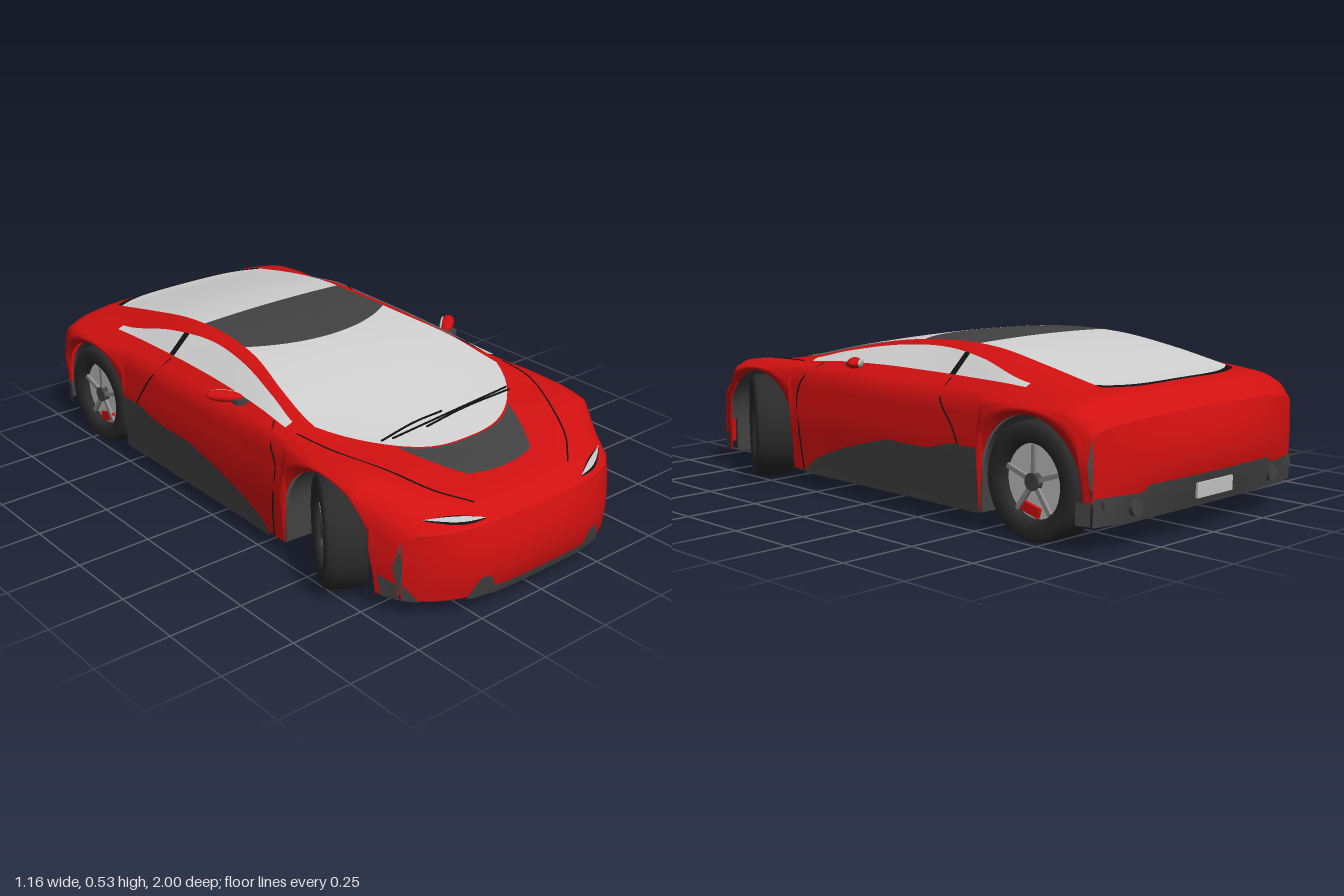
import * as THREE from 'three';

const mat = (name, color) => Object.assign(
  new THREE.MeshStandardMaterial({ color, side: THREE.DoubleSide }), { name });
const red = mat('red paint', 0xd01010), glass = mat('pale glass', 0xd0d0d0), trim = mat('dark trim', 0x424242);
const rubber = mat('tyre rubber', 0x2a2a2a), black = mat('black seam', 0x121212), silver = mat('silver', 0xc2c2c2);
const steel = mat('spoke steel', 0x8a8a8a);

// Body stations from nose to tail, and the guide lines that run through them
const ST = [.97, .9, .8, .66, .5, .35, .2, 0, -.2, -.4, -.6, -.8, -.9, -.97];
const line = (...v) => (s) => {
  let i = 0;
  while (i < ST.length - 2 && s < ST[i + 1]) i++;
  const slope = (k) => {
    const a = Math.max(k - 1, 0), b = Math.min(k + 1, ST.length - 1);
    return (v[b] - v[a]) / (ST[b] - ST[a]);
  };
  const h = ST[i + 1] - ST[i], t = (s - ST[i]) / h, t2 = t * t, t3 = t2 * t;
  return (2 * t3 - 3 * t2 + 1) * v[i] + (t3 - 2 * t2 + t) * h * slope(i)
    + (3 * t2 - 2 * t3) * v[i + 1] + (t3 - t2) * h * slope(i + 1);
};
const width = line(.45, .475, .495, .505, .505, .505, .5, .5, .5, .5, .505, .51, .505, .49);
const shoulderY = line(.255, .295, .345, .385, .397, .395, .393, .39, .39, .395, .4, .4, .385, .34);
const beltX = line(.4, .42, .44, .45, .45, .445, .435, .425, .42, .42, .425, .44, .44, .43);
const beltY = line(.275, .315, .362, .402, .415, .42, .43, .435, .435, .435, .435, .425, .405, .355);
const pillarX = line(.32, .34, .37, .41, .425, .415, .385, .345, .33, .36, .4, .41, .4, .38);
const pillarY = line(.28, .322, .364, .402, .415, .428, .465, .5, .512, .495, .45, .432, .414, .362);
const roofX = line(.24, .27, .31, .36, .39, .385, .36, .31, .29, .295, .31, .315, .31, .3);
const roofY = line(.283, .324, .36, .395, .415, .44, .475, .508, .522, .516, .485, .445, .425, .37);
const centreY = line(.285, .322, .347, .375, .41, .45, .485, .517, .529, .522, .493, .45, .43, .375);

const ARCHES = [.575, -.71], ARCH_R = .195, AXLE_Y = .178;
const lerp = THREE.MathUtils.lerp;

// Round the nose and tail in plan
function bend(x, s) {
  if (s > .7) return s - .13 * (s - .7) / .27 * Math.pow(x / .44, 4);
  if (s < -.85) return s + .04 * (-.85 - s) / .12 * Math.pow(x / .49, 4);
  return s;
}
// Lower edge of the side, cut by the wheel arches
function bottomY(z) {
  for (const c of ARCHES) {
    const d = Math.abs(z - c);
    if (d < ARCH_R) return AXLE_Y + Math.sqrt(ARCH_R * ARCH_R - d * d);
  }
  return z < -.85 ? .15 : .063;
}
// Half section from sill to centre line
function section(s) {
  const w = width(s), yb = bottomY(bend(w - .015, s)), ys = shoulderY(s);
  return [[w - .015, yb], [w, lerp(yb, ys, .55)], [w - .015, ys], [beltX(s), beltY(s)],
    [pillarX(s), pillarY(s)], [roofX(s), roofY(s)], [0, centreY(s)]];
}
function surface(u, s) {
  const p = section(s), i = Math.min(Math.floor(u), 5), t = u - i;
  const x = lerp(p[i][0], p[i + 1][0], t);
  const y = lerp(p[i][1], p[i + 1][1], i === 5 ? 1 - (1 - t) ** 2 : t);
  return new THREE.Vector3(x, y, bend(x, s));
}
function top(x, s, lift = .005) {
  const p = section(s), ax = Math.abs(x);
  let i = 2;
  while (i < 5 && ax < p[i + 1][0]) i++;
  const v = surface(i + THREE.MathUtils.clamp((p[i][0] - ax) / (p[i][0] - p[i + 1][0]), 0, 1), s);
  return new THREE.Vector3(x, v.y + lift, bend(x, s));
}
function side(y, s, lift = .004) {
  const p = section(s), i = y < p[1][1] ? 0 : 1;
  const t = THREE.MathUtils.clamp((y - p[i][1]) / (p[i + 1][1] - p[i][1]), 0, 1);
  const x = lerp(p[i][0], p[i + 1][0], t);
  return new THREE.Vector3(x + lift, y, bend(x, s));
}
// Front (dir 1) and rear (dir -1) fascia
function fascia(x, y, dir, lift = 0) {
  const s = .97 * dir, yt = top(x, s, 0).y, t = (yt - y) / (yt - (dir > 0 ? .063 : .15));
  const bulge = .03 * Math.sin(Math.PI * .85 * t) * (1 - (x / .5) ** 2);
  return new THREE.Vector3(x, y, bend(x, s) + dir * (bulge + lift));
}

// Grid of points fn(a, b), a and b from 0 to 1
function grid(name, material, na, nb, fn) {
  const pos = [], idx = [];
  for (let j = 0; j <= nb; j++) for (let i = 0; i <= na; i++) {
    pos.push(...fn(i / na, j / nb).toArray());
    if (i < na && j < nb) {
      const k = j * (na + 1) + i;
      idx.push(k, k + 1, k + na + 1, k + 1, k + na + 2, k + na + 1);
    }
  }
  const g = new THREE.BufferGeometry();
  g.setAttribute('position', new THREE.Float32BufferAttribute(pos, 3));
  g.setIndex(idx);
  g.computeVertexNormals();
  return add(name, g, material);
}
function add(name, geometry, material, x = 0, y = 0, z = 0) {
  const m = new THREE.Mesh(geometry, material);
  m.name = name;
  m.position.set(x, y, z);
  return m;
}
const wire = (name, pts, r = .0025) =>
  add(name, new THREE.TubeGeometry(new THREE.CatmullRomCurve3(pts), 24, r, 5), black);
const box = (w, h, d) => new THREE.BoxGeometry(w, h, d);

// Wheel with its outer face towards +x
function wheel(name, x, z, turn, caliperAngle) {
  const g = new THREE.Group(), out = Math.sign(x);
  g.name = name;
  const profile = [[.112, -.06], [.16, -.068], [.175, -.055], [.178, -.03], [.178, .03], [.175, .055],
    [.16, .068], [.12, .064], [.112, .05], [.11, -.05]].map((p) => new THREE.Vector2(...p));
  g.add(add('tyre', new THREE.LatheGeometry(profile, 40).rotateZ(-Math.PI / 2), rubber));
  const disc = (r, h) => new THREE.CylinderGeometry(r, r, h, 32).rotateZ(-Math.PI / 2);
  g.add(add('brakeDisc', disc(.111, .03), silver, .018), add('hub', disc(.026, .03), trim, .04));
  for (let i = 0; i < 5; i++) {
    const spoke = add('spoke', box(.012, .085, .014).translate(0, .066, 0), steel, .043);
    spoke.rotation.x = i * Math.PI * .4;
    g.add(spoke);
  }
  const caliper = add('caliper', box(.02, .03, .08).translate(0, .085, 0), red, .034);
  caliper.rotation.x = caliperAngle * out;
  g.add(caliper);
  g.position.set(x, AXLE_Y, z);
  g.rotation.y = turn + (out < 0 ? Math.PI : 0);
  return g;
}

// Parts of one side, built on +x
function sideParts() {
  const g = new THREE.Group();
  const pane = (s0, s1) => (a, b) => surface(lerp(3.06, 3.94, a), lerp(s0, s1, b)).add(new THREE.Vector3(.004, .004, 0));
  g.add(grid('frontSideWindow', glass, 4, 30, pane(.33, -.31)), grid('rearSideWindow', glass, 4, 20, pane(-.335, -.64)));
  g.add(grid('doorPost', black, 4, 2, pane(-.31, -.335)));
  // Dark skirt rising towards the rear arch
  const skirtTop = (s) => .06 + .165 * Math.pow(Math.min(1, (.31 - s) / .42), .6) + .028 * THREE.MathUtils.smoothstep(-s, .28, .42);
  g.add(grid('sideSkirt', trim, 4, 40, (a, b) => {
    const s = lerp(.31, -.512, b);
    return side(lerp(.055, skirtTop(s), a), s, .006);
  }));
  g.add(grid('rearCornerTrim', trim, 2, 6, (a, b) => side(lerp(.085, .152, a), lerp(-.91, -.97, b))));
  g.add(grid('frontCornerTrim', trim, 2, 6, (a, b) => side(lerp(.062, .135 - .02 * b, a), lerp(.91, .97, b))));
  g.add(grid('frontCornerFace', trim, 2, 4, (a, b) => fascia(lerp(.435, .4, b), lerp(.062, .115 - .052 * b, a), 1, .005)));
  g.add(grid('intakeFin', trim, 6, 2, (a, b) =>
    fascia(lerp(.18, .28, a), lerp(.058, .062 + .066 * Math.min(1, 1.7 * (1 - Math.abs(2 * a - 1))), b), 1, .006)));
  // Slim headlight with dark surround
  const lamp = (h, lift) => (a, b) =>
    top(lerp(.2, .375, a), lerp(.957, .922, a) + h * Math.sin(Math.PI * a) * (b * 2 - 1), lift);
  g.add(grid('headlightSurround', black, 20, 4, lamp(.015, .004)), grid('headlight', silver, 20, 4, lamp(.009, .007)));
  // Panel seams
  g.add(wire('doorSeam', [[.065, .325], [.2, .335], [.32, .345], [.38, .315]].map(([y, s]) => side(y, s, .001))
    .concat([surface(2.95, .27)])));
  g.add(wire('doorRearSeam', [surface(2.95, -.32), side(.38, -.34, .001), side(.3, -.4, .001), side(.25, -.43, .001)]));
  g.add(wire('bonnetSeam', [[.44, .38], [.42, .52], [.34, .7], [.28, .82], [.2, .9]].map(([x, s]) => top(x, s, .001))));
  // Door mirror
  const mirror = new THREE.Group();
  mirror.name = 'mirror';
  mirror.add(add('mirrorHousing', new THREE.SphereGeometry(1, 20, 12).scale(.06, .018, .023), red));
  mirror.add(add('mirrorGlass', new THREE.SphereGeometry(1, 16, 8).scale(.05, .013, .006), silver, 0, 0, -.02));
  mirror.position.set(.482, .447, .065);
  mirror.rotation.set(0, .72, .06);
  const arm = add('mirrorArm', box(.07, .016, .035), trim, .437, .432, .105);
  arm.rotation.z = .15;
  g.add(mirror, arm);
  // Wheel arch liners and exhaust
  for (const z of ARCHES) {
    const liner = new THREE.CylinderGeometry(ARCH_R, ARCH_R, .2, 28, 1, true, 0, Math.PI).rotateZ(Math.PI / 2);
    const a = add('archLiner', liner.rotateX(0), trim, .375, AXLE_Y, z);
    const p = liner.attributes.position;
    for (let i = 0; i < p.count; i++) if (p.getY(i) < 0) p.setY(i, -p.getY(i));
    liner.computeVertexNormals();
    g.add(a);
  }
  g.add(add('exhaust', new THREE.CylinderGeometry(.025, .025, .14, 16).rotateX(Math.PI / 2), trim, .33, .125, -.91));
  return g;
}

export function createModel() {
  const car = new THREE.Group();
  car.name = 'sportsCar';

  // Painted shell
  const half = [];
  [3, 3, 2, 3, 2, 8].forEach((n, i) => { for (let k = 0; k < n; k++) half.push(i + k / n); });
  const cols = [...half, 6, ...half.map((u) => -u).reverse()], n = cols.length - 1;
  const mirrorIf = (v, flip) => (flip ? v.setX(-v.x) : v);
  car.add(grid('bodyShell', red, n, 220, (a, b) => {
    const k = Math.round(a * n);
    return mirrorIf(surface(Math.abs(cols[k]), lerp(.97, -.97, b)), k > n / 2);
  }));
  for (const dir of [1, -1]) car.add(grid(dir > 0 ? 'frontFascia' : 'rearFascia', red, 40, 12, (a, b) => {
    const x = (a * 2 - 1) * (width(.97 * dir) - .015);
    return fascia(x, lerp(top(x, .97 * dir, 0).y, dir > 0 ? .063 : .15, b), dir);
  }));

  // Glass canopy running from windscreen over the roof to the tail
  const front = (a) => .66 - .26 * Math.abs(a) ** 3, roofFront = (a) => .02 - .09 * a * a;
  const roofRear = () => -.31, rear = (a) => -.86 + .06 * a ** 4;
  const canopy = (from, to) => (i, j) => {
    const a = i * 2 - 1, s = lerp(from(a), to(a), j);
    return top(a * roofX(s) * .995, s);
  };
  car.add(grid('windscreen', glass, 32, 40, canopy(front, roofFront)));
  car.add(grid('roofPanel', trim, 32, 24, canopy(roofFront, roofRear)));
  car.add(grid('rearWindow', glass, 32, 40, canopy(roofRear, rear)));
  car.add(grid('rearWindowVent', black, 32, 2, canopy(rear, (a) => rear(a) - .012 - .015 * a * a)));
  car.add(grid('bonnetPanel', trim, 24, 16, (i, j) => {
    const a = i * 2 - 1, x = a * lerp(.24, .135, j);
    return top(x, lerp(.665 - .26 * Math.abs(x / .38) ** 3, .82 - .02 * a * a, j));
  }));
  const wiper = (pts) => wire('wiper', pts.map(([x, s]) => top(x, s, .009)), .0035);
  car.add(wiper([[-.26, .56], [-.1, .53], [.02, .525]]), wiper([[-.22, .565], [0, .545], [.3, .53]]),
    wiper([[-.08, .565], [.1, .545], [.3, .545]]));

  // Lower bumpers and number plate blank
  car.add(grid('frontSplitter', trim, 20, 2, (a, b) => fascia(lerp(-.2, .2, a), lerp(.055, .083, b), 1, .006)));
  car.add(grid('rearDiffuser', trim, 40, 5, (a, b) => {
    const x = lerp(-.476, .476, a);
    return fascia(x, lerp(.082, .165 + .02 * (Math.abs(x) < .3 ? 1 : 0), b), -1, .005);
  }));
  car.add(add('plate', box(.17, .045, .008), silver, 0, .137, -.998));

  // Floor, with room for the wheels
  const outline = [[.36, .9], [.43, .79], [.27, .77], [.27, .38], [.478, .37], [.478, -.51], [.27, -.52]];
  const shape = new THREE.Shape([...outline, ...outline.map(([x, z]) => [-x, z]).reverse()].map((p) => new THREE.Vector2(...p)));
  const floor = new THREE.ExtrudeGeometry(shape, { depth: .14, bevelEnabled: false }).rotateX(Math.PI / 2);
  car.add(add('floor', floor, trim, 0, .195, 0));
  car.add(add('rearFloor', box(.54, .17, .46), trim, 0, .185, -.735));
  car.add(add('rearBumperFloor', box(.9, .02, .06), trim, 0, .145, -.93));

  // Mirrored sides
  const left = sideParts(), right = sideParts();
  left.name = 'leftSide';
  right.name = 'rightSide';
  right.scale.x = -1;
  car.add(left, right);

  // Wheels, the front pair steered
  for (const [label, sgn] of [['Left', 1], ['Right', -1]]) {
    car.add(wheel('front' + label + 'Wheel', sgn * .435, .575, -.56, -.6));
    car.add(wheel('rear' + label + 'Wheel', sgn * .425, -.71, 0, 2.9));
  }
  return car;
}
